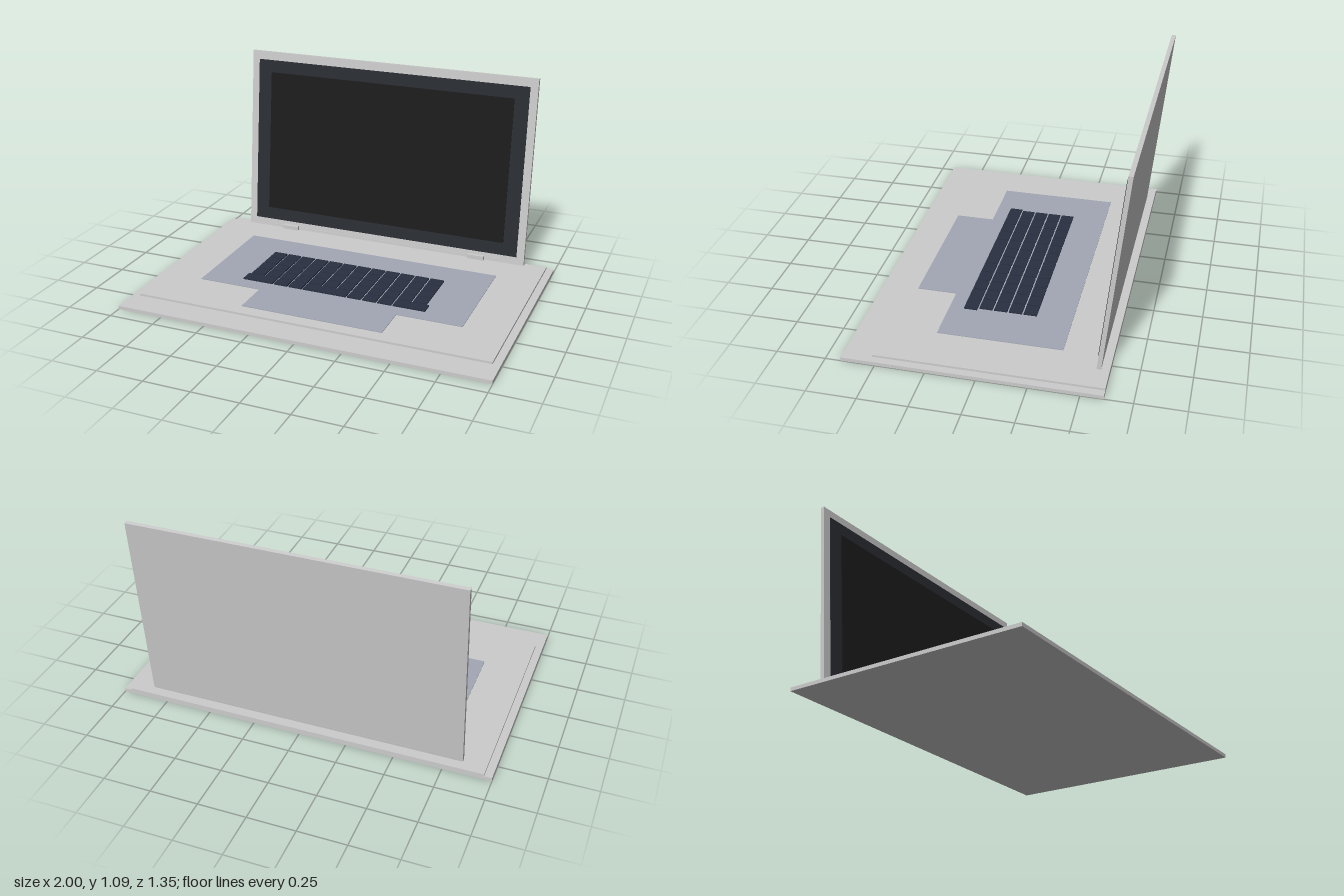
import * as THREE from 'three';

const mat = (color) => new THREE.MeshStandardMaterial({ color });
const grey = mat(0xcccccc);
const slate = mat(0xa2a7b4);
const keyDark = mat(0x2a3042);
const bezelDark = mat(0x2a2d33);
const glass = mat(0x1c1c1d);

// Box given by its extents on each axis
function box(parent, name, material, [x0, x1], [y0, y1], [z0, z1]) {
  const mesh = new THREE.Mesh(new THREE.BoxGeometry(x1 - x0, y1 - y0, z1 - z0), material);
  mesh.position.set((x0 + x1) / 2, (y0 + y1) / 2, (z0 + z1) / 2);
  mesh.name = name;
  parent.add(mesh);
  return mesh;
}

export function createModel() {
  const model = new THREE.Group();
  model.name = 'laptop';

  // Base plate and the stepped deck on it
  box(model, 'basePlate', grey, [-1, 1], [0, 0.019], [-0.612, 0.672]);
  box(model, 'deck', grey, [-0.96, 0.96], [0.019, 0.03], [-0.612, 0.525]);

  // T-shaped keyboard and touchpad panel, hovering just above the deck
  const outline = [
    [-0.735, 0.37], [-0.735, -0.265], [-0.385, -0.265], [-0.385, -0.472],
    [0.385, -0.472], [0.385, -0.265], [0.735, -0.265], [0.735, 0.37],
  ].map(([x, y]) => new THREE.Vector2(x, y));
  const panel = new THREE.Mesh(
    new THREE.ExtrudeGeometry(new THREE.Shape(outline), { depth: 0.003, bevelEnabled: false }), slate);
  panel.rotation.x = -Math.PI / 2;
  panel.position.y = 0.041;
  panel.name = 'keyboardPanel';
  model.add(panel);

  // Four rows of twelve equal keys, then a row with wide ends and a space bar
  const keys = new THREE.Group();
  keys.name = 'keys';
  model.add(keys);
  const pitch = 0.0843, rowPitch = 0.0768, left = -0.505;
  const addKey = (name, x0, x1, row) => {
    const z = -0.187 + row * rowPitch;
    box(keys, name, keyDark, [x0, x1], [0.046, 0.053], [z, z + 0.068]);
  };
  for (let row = 0; row < 4; row++)
    for (let col = 0; col < 12; col++)
      addKey('key', left + col * pitch, left + col * pitch + 0.075, row);
  for (const col of [2, 3, 7, 8, 9])
    addKey('key', left + col * pitch, left + col * pitch + 0.075, 4);
  addKey('wideKeyRight', -0.518, -0.346, 4);
  addKey('spaceBar', left + 4 * pitch, left + 6 * pitch + 0.075, 4);
  addKey('wideKeyLeft', 0.338, 0.513, 4);

  // Lid, leaning back about its lower front edge
  const lid = new THREE.Group();
  lid.name = 'lid';
  lid.position.set(0, 0.044, -0.55);
  lid.rotation.x = -0.1;
  model.add(lid);
  box(lid, 'lidShell', grey, [-0.843, 0.843], [0, 1.049], [-0.022, 0]);
  box(lid, 'bezel', bezelDark, [-0.8, 0.8], [0.045, 1.002], [0.001, 0.005]);
  box(lid, 'screen', glass, [-0.72, 0.72], [0.116, 0.932], [0.005, 0.008]);

  // Hinge rod along the lower edge and two hinge blocks
  const rod = new THREE.Mesh(new THREE.CylinderGeometry(0.0115, 0.0115, 1.42, 16), grey);
  rod.rotation.z = Math.PI / 2;
  rod.position.set(0, 0.013, -0.011);
  rod.name = 'hingeRod';
  lid.add(rod);
  for (const s of [-1, 1])
    box(model, s > 0 ? 'hingeLeft' : 'hingeRight', grey,
      [s * 0.57 - 0.047, s * 0.57 + 0.047], [0.045, 0.068], [-0.556, -0.532]);

  return model;
}
